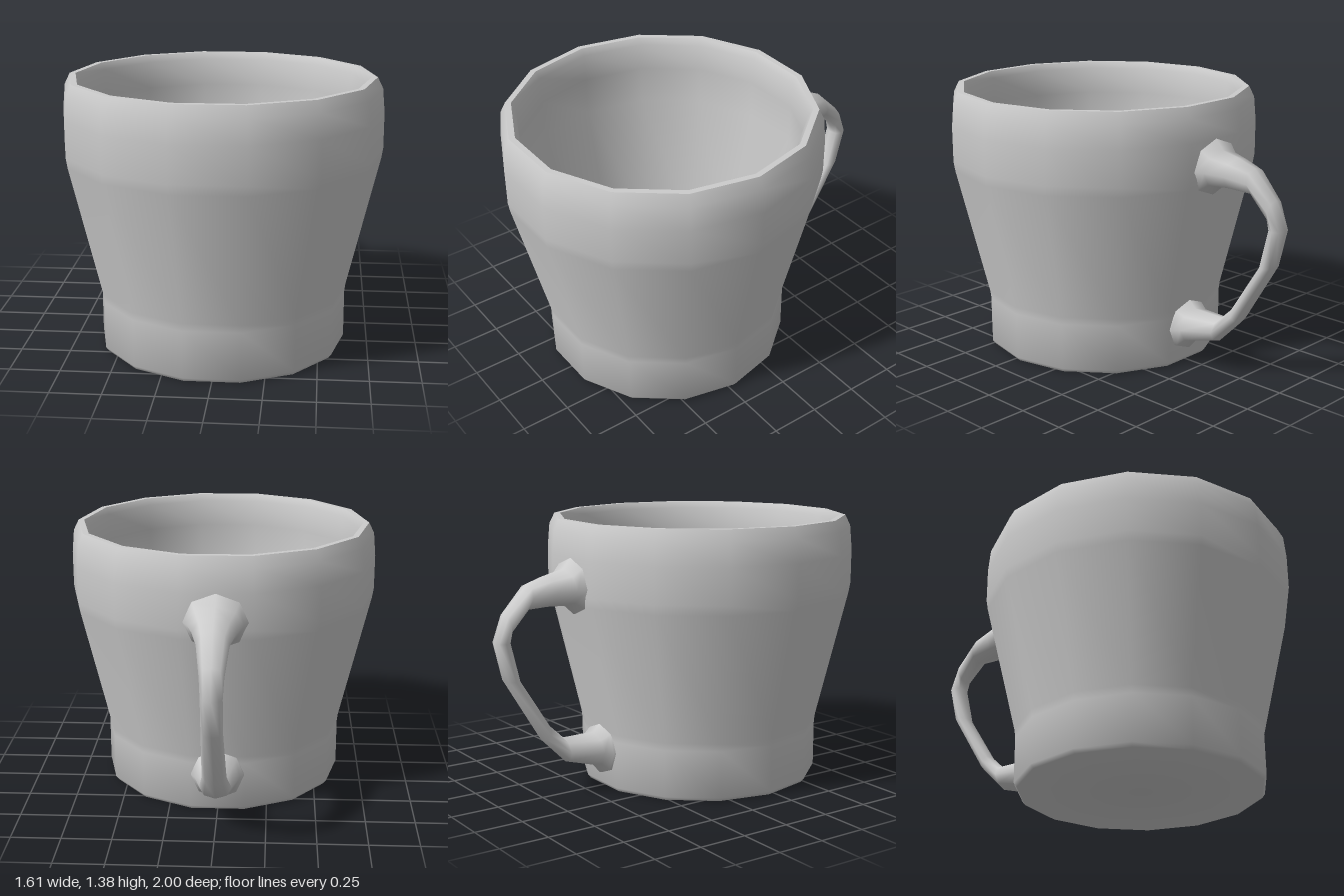
import * as THREE from 'three';
import { toCreasedNormals } from 'three/addons/utils/BufferGeometryUtils.js';

const SIDES = 14;
const BODY_Z = 0.217;

// Hollow cup: underside, outer wall, rim, inner wall, floor
function cupGeometry() {
  const profile = [
    [0, 0], [0.615, 0], [0.63, 0.02], [0.63, 0.26], [0.635, 0.3],
    [0.795, 0.97], [0.803, 1.02], [0.803, 1.2], [0.792, 1.32], [0.765, 1.375],
    [0.735, 1.375], [0.715, 1.34], [0.71, 1.2], [0.71, 1.0],
    [0.548, 0.28], [0.545, 0.09], [0, 0.09],
  ].map(([r, y]) => new THREE.Vector2(r, y));
  // Starting at +x puts flat facets at the front and the back
  const lathe = new THREE.LatheGeometry(profile, SIDES, Math.PI / 2);
  return toCreasedNormals(lathe, 1.0);
}

// Handle: elliptical rings between an outer and an inner edge line
function handleGeometry() {
  // outer z, outer y, inner z, inner y, half width
  const rings = [
    [-0.52, 1.21, -0.51, 0.91, 0.165],
    [-0.57, 1.2, -0.555, 0.92, 0.16],
    [-0.61, 1.15, -0.6, 0.965, 0.135],
    [-0.70, 1.13, -0.70, 0.97, 0.105],
    [-0.807, 1.096, -0.83, 0.965, 0.078],
    [-0.94, 0.963, -0.912, 0.86, 0.058],
    [-0.998, 0.82, -0.914, 0.82, 0.052],
    [-0.952, 0.63, -0.866, 0.625, 0.052],
    [-0.749, 0.3, -0.706, 0.37, 0.06],
    [-0.615, 0.166, -0.626, 0.294, 0.08],
    [-0.45, 0.118, -0.45, 0.294, 0.115],
    [-0.41, 0.07, -0.41, 0.33, 0.135],
    [-0.35, 0.06, -0.36, 0.34, 0.14],
  ];
  const n = 8;
  const positions = [];
  const index = [];
  rings.forEach(([oz, oy, iz, iy, w], i) => {
    for (let j = 0; j < n; j++) {
      const t = (j / n) * Math.PI * 2;
      const k = (1 + Math.cos(t)) / 2;
      positions.push(w * Math.sin(t), iy + (oy - iy) * k, iz + (oz - iz) * k);
      if (i < rings.length - 1) {
        const a = i * n + j;
        const b = i * n + ((j + 1) % n);
        index.push(a, b, a + n, b, b + n, a + n);
      }
    }
  });
  const geometry = new THREE.BufferGeometry();
  geometry.setAttribute('position', new THREE.Float32BufferAttribute(positions, 3));
  geometry.setIndex(index);
  geometry.computeVertexNormals();
  return geometry;
}

export function createModel() {
  const material = new THREE.MeshStandardMaterial({ color: 0xcccccc });
  const group = new THREE.Group();
  group.name = 'mug';

  const cup = new THREE.Mesh(cupGeometry(), material);
  cup.name = 'cup';
  cup.position.z = BODY_Z;

  const handle = new THREE.Mesh(handleGeometry(), material);
  handle.name = 'handle';

  group.add(cup, handle);
  return group;
}
